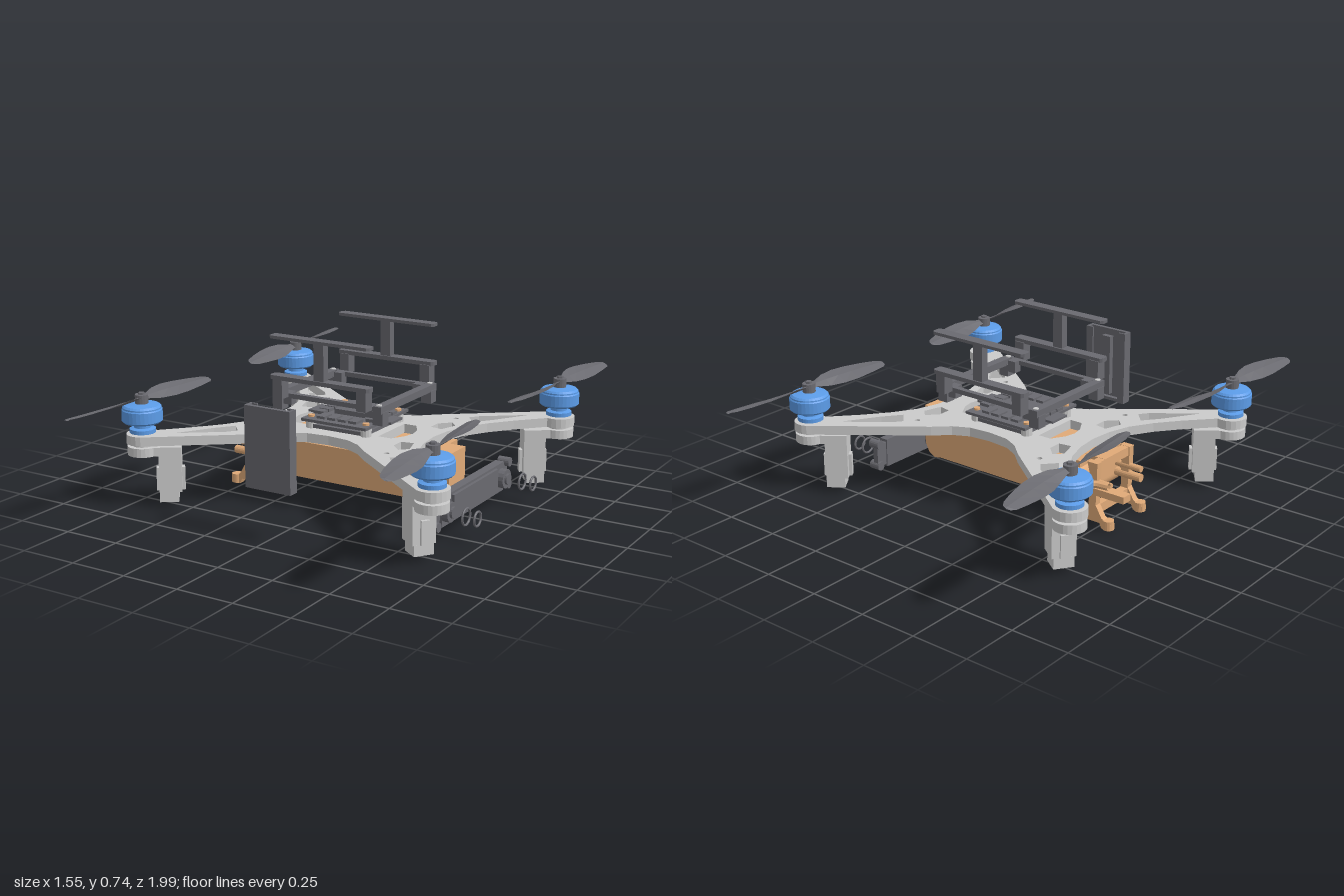
import * as THREE from 'three';

const mat = (color) => new THREE.MeshStandardMaterial({ color, flatShading: true, side: THREE.DoubleSide });

export function createModel() {
  const root = new THREE.Group();
  const grey = mat(0xcccccc), dark = mat(0x6a6a70), orange = mat(0xe0aa78), blue = mat(0x5c9ce8);

  const add = (name, geo, m, x = 0, y = 0, z = 0) => {
    const mesh = new THREE.Mesh(geo, m);
    mesh.name = name;
    mesh.position.set(x, y, z);
    root.add(mesh);
    return mesh;
  };
  // box given by its bounds
  const box = (name, m, x0, x1, y0, y1, z0, z1) =>
    add(name, new THREE.BoxGeometry(x1 - x0, y1 - y0, z1 - z0), m, (x0 + x1) / 2, (y0 + y1) / 2, (z0 + z1) / 2);
  // upright cylinder from y0 to y1
  const post = (name, m, x, z, r, y0, y1, sides = 24, rTop = r) =>
    add(name, new THREE.CylinderGeometry(rTop, r, y1 - y0, sides), m, x, (y0 + y1) / 2, z);
  // horizontal cylinder along x
  const rod = (name, m, x0, x1, y, z, r) =>
    add(name, new THREE.CylinderGeometry(r, r, x1 - x0, 16).rotateZ(Math.PI / 2), m, (x0 + x1) / 2, y, z);
  const vec = (pts) => pts.map(([a, b]) => new THREE.Vector2(a, b));
  // flat plate drawn in x/z, from y0 to y1
  const plate = (name, m, shape, y0, y1) =>
    add(name, new THREE.ExtrudeGeometry(shape, { depth: y1 - y0, bevelEnabled: false, curveSegments: 10 }).rotateX(Math.PI / 2), m, 0, y1, 0);
  const corners = [[1, 1], [1, -1], [-1, 1], [-1, -1]];
  const PX = 0.69, PZ = 0.58;

  // Main frame: one quadrant of the outline, mirrored twice
  const quad = [[0, 0.215], [0.1, 0.225], [0.17, 0.26], [0.235, 0.32]];
  for (let i = 0; i <= 14; i++) {
    const a = THREE.MathUtils.degToRad(137 - i * (247 / 14));
    quad.push([PX + 0.07 * Math.cos(a), PZ + 0.07 * Math.sin(a)]);
  }
  quad.push([0.56, 0.4], [0.48, 0.3], [0.42, 0.2], [0.39, 0.1], [0.38, 0]);
  const flip = (sx, sz) => quad.map(([x, z]) => [x * sx, z * sz]);
  const frame = new THREE.Shape(vec([
    ...flip(1, 1), ...flip(1, -1).reverse().slice(1),
    ...flip(-1, -1).slice(1), ...flip(-1, 1).reverse().slice(1, -1),
  ]));
  const armHoles = [
    [[0.575, 0.515], [0.4, 0.385], [0.37, 0.345], [0.42, 0.29], [0.48, 0.365]],
    [[0.3, 0.13], [0.355, 0.12], [0.38, 0.2], [0.345, 0.235], [0.3, 0.19]],
  ];
  for (const [sx, sz] of corners) {
    for (const h of armHoles) frame.holes.push(new THREE.Path(vec(h.map(([x, z]) => [x * sx, z * sz]))));
    frame.holes.push(new THREE.Path().absarc(0.33 * sx, 0.3 * sz, 0.012, 0, Math.PI * 2));
  }
  for (const s of [1, -1]) {
    frame.holes.push(new THREE.Path(vec([[0.18, -0.11], [0.24, -0.11], [0.275, -0.05], [0.285, 0],
      [0.275, 0.05], [0.24, 0.11], [0.18, 0.11]].map(([x, z]) => [x * s, z]))));
  }
  plate('frame', grey, frame, 0.28, 0.32);

  // Propeller blades: rows of [radius, edge, other edge, rise], twisted along the span
  const rows = [[0, -0.014, 0.014, 0.006], [0.04, -0.016, 0.016, 0.008], [0.1, -0.03, 0.03, 0.018], [0.17, -0.052, 0.04, 0.018],
    [0.24, -0.063, 0.036, 0.015], [0.33, -0.064, 0.018, 0.01], [0.395, -0.062, -0.002, 0.006], [0.415, -0.05, -0.018, 0.004]];
  const bladeGeo = (hand) => {
    const pos = [], idx = [];
    rows.forEach(([r, a, b, h], i) => {
      const t = 0.005, m = (a + b) / 2;
      pos.push(a * hand, -h, -r, m * hand, t, -r, b * hand, h, -r, m * hand, -t, -r);
      if (!i) return;
      for (let k = 0; k < 4; k++) {
        const p = (i - 1) * 4 + k, q = (i - 1) * 4 + (k + 1) % 4;
        if (hand > 0) idx.push(p, q, q + 4, p, q + 4, p + 4);
        else idx.push(p, q + 4, q, p, p + 4, q + 4);
      }
    });
    const g = new THREE.BufferGeometry();
    g.setAttribute('position', new THREE.Float32BufferAttribute(pos, 3));
    g.setIndex(idx);
    g.computeVertexNormals();
    return g;
  };

  for (const [sx, sz] of corners) {
    const x = PX * sx, z = PZ * sz;
    // Motor
    const profile = vec([[0, 0.325], [0.055, 0.325], [0.055, 0.342], [0.036, 0.347], [0.036, 0.366], [0.078, 0.37],
      [0.086, 0.378], [0.086, 0.425], [0.082, 0.43], [0.082, 0.436], [0.074, 0.444], [0.03, 0.45], [0, 0.45]]);
    add('motor', new THREE.LatheGeometry(profile, 32), blue, x, 0, z);
    // Propeller
    post('propellerHub', dark, x, z, 0.028, 0.448, 0.488, 16);
    post('propellerNut', dark, x, z, 0.014, 0.488, 0.497, 6);
    const blade = bladeGeo(-sx * sz * sz * (sz > 0 ? -1 : 1));
    for (const turn of [0, Math.PI]) add('propellerBlade', blade, dark, x, 0.472, z).rotation.y = turn;
    // Leg with its mounting cap under the arm
    const lx = 0.6 * sx, lz = 0.515 * sz, turn = -Math.atan2(z - lz, x - lx);
    post('legCap', grey, x, z, 0.067, 0.23, 0.268);
    post('armSpacer', grey, x, z, 0.045, 0.268, 0.28);
    const block = (name, w, y0, y1, d, px, pz) =>
      (add(name, new THREE.BoxGeometry(w, y1 - y0, d), grey, px, (y0 + y1) / 2, pz).rotation.y = turn);
    block('legBridge', 0.14, 0.23, 0.268, 0.1, (x + lx) / 2, (z + lz) / 2);
    block('leg', 0.095, 0.07, 0.268, 0.1, lx, lz);
    block('legFoot', 0.08, 0.025, 0.07, 0.085, lx + 0.006 * sx, lz + 0.005 * sz);
    block('legRib', 0.12, 0.07, 0.17, 0.035, lx, lz);
    for (const k of [-1, 1]) post('armScrew', grey, x + 0.035 * k, z, 0.009, 0.222, 0.232, 8);
  }

  // Electronics stack
  box('circuitBoard', dark, -0.16, 0.16, 0.355, 0.367, -0.18, 0.18);
  box('lowerBoard', dark, -0.14, 0.14, 0.322, 0.338, -0.15, 0.15);
  box('processor', dark, -0.075, 0.075, 0.367, 0.388, -0.045, 0.045);
  for (const [sx, sz] of corners) {
    post('boardStandoff', grey, 0.135 * sx, 0.135 * sz, 0.024, 0.318, 0.356, 12);
    post('boardScrew', orange, 0.135 * sx, 0.135 * sz, 0.014, 0.367, 0.376, 12);
  }
  for (let i = 0; i < 4; i++) for (const s of [-1, 1]) {
    box('chip', dark, -0.1 + i * 0.052, -0.06 + i * 0.052, 0.367, 0.378, 0.12 * s - 0.03, 0.12 * s + 0.03);
    box('socket', dark, 0.13 * s - 0.025, 0.13 * s + 0.025, 0.367, 0.38, -0.09 + i * 0.047, -0.052 + i * 0.047);
  }
  for (const s of [-1, 1]) box('sidePort', dark, s * 0.18 - 0.025, s * 0.18 + 0.025, 0.358, 0.368, -0.05, 0.05);

  // Carrying cradle above the frame
  for (const s of [-1, 1]) {
    box('cradleSideRail', dark, s * 0.247 - 0.019, s * 0.247 + 0.019, 0.455, 0.485, -0.235, 0.235);
    box('cradleCrossRail', dark, -0.25, 0.25, 0.462, 0.482, s * 0.22 - 0.012, s * 0.22 + 0.012);
    const rail = new THREE.Shape(vec([[-0.24, -0.015], [-0.23, -0.025], [0.23, -0.025], [0.24, -0.015],
      [0.24, 0.015], [0.23, 0.025], [-0.23, 0.025], [-0.24, 0.015]]));
    plate('cradleRail', dark, rail, 0.552, 0.57).position.z = s * 0.27;
    plate('cradleTopBar', dark, rail, 0.725, 0.738).position.z = s * 0.27;
    box('cradlePost', dark, -0.024, 0.024, 0.565, 0.73, s * 0.27 - 0.018, s * 0.27 + 0.018);
    for (const t of [-1, 1]) {
      box('cradleUpright', dark, t * 0.203 - 0.023, t * 0.203 + 0.023, 0.47, 0.556, s * 0.265 - 0.025, s * 0.265 + 0.025);
      box('cradleFoot', dark, t * 0.245 - 0.024, t * 0.245 + 0.024, 0.405, 0.46, s * 0.205 - 0.024, s * 0.205 + 0.024);
      box('cradleInnerFoot', dark, t * 0.2 - 0.02, t * 0.2 + 0.02, 0.43, 0.482, s * 0.2 - 0.02, s * 0.2 + 0.02);
      post('cradleScrew', grey, t * 0.245, s * 0.215, 0.012, 0.48, 0.489, 12);
    }
  }

  // Front panel: a shallow channel open to the rear
  box('frontPanel', dark, -0.095, 0.118, 0.212, 0.55, 0.66, 0.678);
  for (const [a, b, c] of [[-0.095, -0.083, -0.06], [0.106, 0.118, 0.083]]) {
    box('panelSide', dark, a, b, 0.212, 0.55, 0.635, 0.66);
    box('panelLip', dark, Math.min(a, c), Math.max(b, c), 0.212, 0.55, 0.632, 0.64);
  }
  box('panelSpine', dark, -0.012, 0.034, 0.24, 0.52, 0.635, 0.66);
  box('panelLedge', dark, -0.095, 0.118, 0.212, 0.226, 0.64, 0.66);

  // Battery with rounded ends
  const bat = new THREE.Shape();
  const r = 0.055, L = 0.425, y0 = 0.088, y1 = 0.248;
  bat.absarc(L - r, y0 + r, r, -Math.PI / 2, 0);
  bat.absarc(L - r, y1 - r, r, 0, Math.PI / 2);
  bat.absarc(-L + r, y1 - r, r, Math.PI / 2, Math.PI);
  bat.absarc(-L + r, y0 + r, r, Math.PI, Math.PI * 1.5);
  add('battery', new THREE.ExtrudeGeometry(bat, { depth: 0.28, bevelEnabled: false, curveSegments: 6 }), orange, 0, 0, -0.14);
  box('batteryTray', orange, -0.49, 0.47, 0.245, 0.28, -0.07, 0.07);
  for (const s of [-1, 1]) box('trayWing', orange, s * 0.29 - 0.13, s * 0.29 + 0.13, 0.25, 0.279, -0.145, 0.145);

  // Camera-side hook
  const hook = new THREE.Shape(vec([[0.45, 0.28], [0.495, 0.28], [0.495, 0.1], [0.475, 0.06], [0.445, 0.042],
    [0.415, 0.045], [0.415, 0.075], [0.445, 0.09], [0.45, 0.12]]));
  hook.holes.push(new THREE.Path().absarc(0.472, 0.112, 0.014, 0, Math.PI * 2));
  add('cameraHook', new THREE.ExtrudeGeometry(hook, { depth: 0.14, bevelEnabled: false }), orange, 0, 0, -0.07);

  // Tail bracket with posts, pins and feet
  const tail = new THREE.Shape(vec([[-0.495, 0.28], [-0.445, 0.28], [-0.455, 0.24], [-0.455, 0.095], [-0.42, 0.042],
    [-0.27, 0.042], [-0.27, 0.005], [-0.305, 0.005], [-0.315, 0.022], [-0.51, 0.022], [-0.52, 0], [-0.565, 0],
    [-0.565, 0.025], [-0.52, 0.045], [-0.49, 0.095]]));
  for (const s of [-1, 1]) {
    add('tailBracket', new THREE.ExtrudeGeometry(tail, { depth: 0.03, bevelEnabled: false }), orange, 0, 0, s * 0.115 - 0.015);
    rod('tailPin', orange, -0.55, -0.41, 0.15, s * 0.11, 0.018);
    rod('tailPin', orange, -0.55, -0.41, 0.19, s * 0.11, 0.014);
    post('tailFoot', orange, -0.545, s * 0.115, 0.024, 0, 0.04, 16);
    post('tailFoot', orange, -0.295, s * 0.115, 0.024, 0.005, 0.042, 16);
  }
  box('tailCrossbar', orange, -0.49, -0.455, 0.24, 0.279, -0.13, 0.13);
  box('tailLowerCrossbar', orange, -0.49, -0.455, 0.05, 0.09, -0.13, 0.13);
  box('tailTab', orange, -0.64, -0.455, 0.15, 0.18, -0.15, -0.1);
  const strap = new THREE.CatmullRomCurve3([[-0.56, -0.14], [-0.5, -0.15], [-0.44, -0.2], [-0.42, -0.16]]
    .map(([x, z]) => new THREE.Vector3(x, 0.2, z)));
  add('tailStrap', new THREE.TubeGeometry(strap, 16, 0.016, 8), orange);

  // Camera bar on the left side
  box('cameraBar', dark, 0.535, 0.575, 0.043, 0.17, -0.28, 0.28);
  box('cameraBarFace', dark, 0.575, 0.588, 0.06, 0.16, -0.2, 0.2);
  box('cameraMount', dark, 0.49, 0.54, 0.07, 0.13, -0.03, 0.03);
  for (const s of [-1, 1]) {
    box('cameraEndPlate', dark, 0.54, 0.565, 0.055, 0.158, s * 0.305 - 0.03, s * 0.305 + 0.03);
    for (const y of [0.058, 0.158]) rod('cameraLug', dark, 0.532, 0.585, y, s * 0.322, 0.02);
    rod('cameraLens', dark, 0.575, 0.605, 0.105, s * 0.25, 0.042);
    rod('cameraLensTip', dark, 0.605, 0.615, 0.105, s * 0.25, 0.024);
    for (const [x, rad] of [[0.672, 0.034], [0.722, 0.03]])
      add('lensRing', new THREE.TorusGeometry(rad, 0.005, 6, 24).rotateY(Math.PI / 2), dark, x, 0.102, s * 0.26);
  }
  return root;
}
